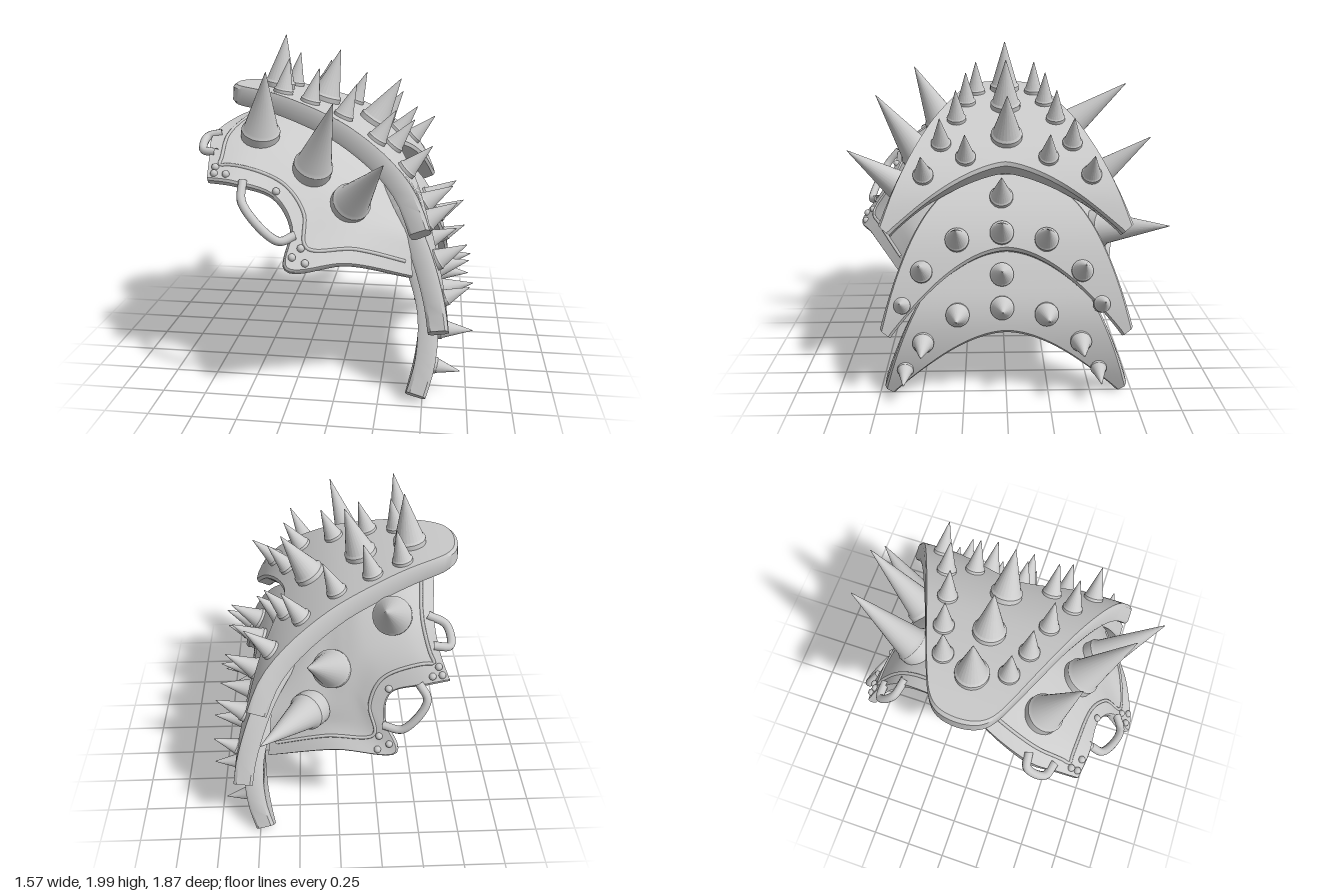
import * as THREE from 'three';
import { toCreasedNormals } from 'three/addons/utils/BufferGeometryUtils.js';

const V3 = (p) => new THREE.Vector3(...p);
const clamp01 = (t) => Math.min(1, Math.max(0, t));
const material = new THREE.MeshStandardMaterial({ color: 0xcccccc, side: THREE.DoubleSide });

function add(group, name, geometry) {
  const mesh = new THREE.Mesh(geometry, material);
  mesh.name = name;
  group.add(mesh);
  return mesh;
}

// Unit normal of a surface function
function normalAt(fn, u, v) {
  const e = 0.004;
  const du = fn(clamp01(u + e), v).sub(fn(clamp01(u - e), v));
  const dv = fn(u, clamp01(v + e)).sub(fn(u, clamp01(v - e)));
  return du.cross(dv).normalize();
}

// Solid sheet with bevelled long edges, following fn(u, v)
function sheet(fn, nu, nv, thick, bevel) {
  const pos = [], idx = [], half = nv + 3, m = half * 2;
  for (let i = 0; i <= nu; i++) {
    const u = i / nu;
    const inset = Math.min(0.2, bevel / fn(u, 0).distanceTo(fn(u, 1)));
    const section = [[0, -bevel]];
    for (let j = 0; j <= nv; j++) section.push([inset + (1 - 2 * inset) * j / nv, 0]);
    section.push([1, -bevel]);
    for (let j = half - 1; j >= 0; j--) section.push([section[j][0], -thick - section[j][1]]);
    for (const [v, off] of section) pos.push(...fn(u, v).addScaledVector(normalAt(fn, u, v), off).toArray());
  }
  for (let i = 0; i < nu; i++) for (let j = 0; j < m; j++) {
    const a = i * m + j, b = i * m + (j + 1) % m;
    idx.push(a, a + m, b + m, a, b + m, b);
  }
  // Close both ends by joining the outer and inner halves
  const e = nu * m;
  for (let j = 0; j < half - 1; j++) {
    const a = j, b = j + 1, c = m - 2 - j, d = m - 1 - j;
    idx.push(a, b, c, a, c, d, e + a, e + c, e + b, e + a, e + d, e + c);
  }
  const g = new THREE.BufferGeometry();
  g.setAttribute('position', new THREE.Float32BufferAttribute(pos, 3));
  g.setIndex(idx);
  return toCreasedNormals(g, 0.6);
}

// Cone with a collar, from a base point along a direction
function spike(group, name, base, dir, r, h) {
  const prof = [[0, -0.04], [r * 1.1, -0.04], [r * 1.1, h * 0.09], [r * 0.96, h * 0.13], [0.002, h]];
  const g = new THREE.LatheGeometry(prof.map((p) => new THREE.Vector2(...p)), 24);
  const mesh = add(group, name, toCreasedNormals(g, 0.5));
  mesh.position.copy(base);
  mesh.quaternion.setFromUnitVectors(new THREE.Vector3(0, 1, 0), dir.clone().normalize());
}

// Crescent plate bent along an (x, y) profile; upper(k) and lower(k) give
// [z, position along the profile] from the middle (k = 0) to the horn (k = 1)
function plate(model, name, points, upper, lower) {
  const group = new THREE.Group();
  group.name = name;
  model.add(group);
  const profile = new THREE.SplineCurve(points.map((p) => new THREE.Vector2(...p)));
  const fn = (u, v) => {
    const k = Math.abs(2 * u - 1), [za, sa] = upper(k), [zb, sb] = lower(k);
    const c = profile.getPointAt(clamp01(sa + (sb - sa) * v));
    return new THREE.Vector3(c.x, c.y, (u < 0.5 ? -1 : 1) * (za + (zb - za) * v));
  };
  add(group, name + 'Shell', sheet(fn, 64, 16, 0.115, 0.018));
  // Places a spike where the profile reaches a given x or y, square to it plus an upward tilt
  return (axis, value, z, r, h, tilt) => {
    let best = 0, gap = 9;
    for (let i = 0; i <= 200; i++) {
      const g = Math.abs(profile.getPointAt(i / 200)[axis] - value);
      if (g < gap) { gap = g; best = i / 200; }
    }
    const p = profile.getPointAt(best), t = profile.getTangentAt(best);
    spike(group, 'plateSpike', new THREE.Vector3(p.x, p.y, z), new THREE.Vector3(-t.y, t.x + tilt, 0), r, h);
  };
}

function addPlates(model) {
  // Top plate: rounded nose widening to two horns
  const top = plate(model, 'topPlate',
    [[-0.7, 1.715], [-0.4, 1.685], [-0.1, 1.6], [0.1, 1.51], [0.3, 1.37], [0.44, 1.21], [0.53, 1]],
    (k) => [0.55 * k * k + 0.17 * Math.tanh(6 * k), 0.965 * k * k],
    (k) => [0.66 * k, 0.725 + 0.275 * k ** 1.5]);
  for (const x of [-0.43, -0.15, 0.15]) top('x', x, -0.01, 0.085, 0.31, 0);
  for (const [x, z] of [[-0.37, 0.175], [-0.2, 0.235], [0, 0.29], [0.2, 0.375], [0.37, 0.47], [0.285, 0.23]]) {
    for (const s of [1, -1]) top('x', x, s * z - 0.01 + 0.01 * s, 0.053, 0.2, 0.05);
  }
  // Two lower plates share their outer edge and spike layout
  const lowerPlates = [
    ['middlePlate', 0.42, 0.45, 0.5, [[0.2, 1.28], [0.36, 1.13], [0.47, 0.98], [0.55, 0.8], [0.61, 0.6], [0.64, 0.42]]],
    ['bottomPlate', 0, 0, 0.55, [[0.4, 0.9], [0.48, 0.75], [0.555, 0.57], [0.58, 0.4], [0.565, 0.2], [0.51, 0]]],
  ];
  for (const [name, lift, tilt, notch, points] of lowerPlates) {
    const put = plate(model, name, points,
      (k) => [0.72 * k, 0.95 * k ** 2.8],
      (k) => [0.66 * k, notch + (1 - notch) * k ** 1.8]);
    for (const y of [0.74, 0.565]) put('y', y + lift, 0.025, 0.062, 0.21, tilt * 0.1);
    for (const [y, z, r] of [[0.53, 0.255, 0.062], [0.365, 0.455, 0.056], [0.185, 0.565, 0.043]]) {
      for (const s of [1, -1]) put('y', y + lift, 0.025 + s * z, r, r * 3.5, tilt * z);
    }
  }
}

// Side flap: a middle row and the notched outer hem, from back to front edge
const MIDDLE = [[-0.73, 1.46, 0.42], [-0.48, 1.47, 0.4], [-0.2, 1.36, 0.48], [-0.05, 1.25, 0.54], [0.07, 1.13, 0.59], [0.2, 1.06, 0.58], [0.4, 0.96, 0.5]];
const HEM = [[-0.69, 1.28, 0.7], [-0.54, 1.27, 0.72], [-0.32, 1.2, 0.72], [-0.21, 1.05, 0.8], [-0.22, 0.87, 0.93], [0.08, 0.87, 0.83], [0.43, 0.73, 0.62]];

// All rows: ridge, a row tucked under the top plate, middle, halfway, hem
function flapRows() {
  const tucked = MIDDLE.map(([x]) => [0.85 * x, 1.41 - 0.6 * x - 0.58 * x * x, 0.22 + 0.17 * x]);
  const ridge = tucked.map(([x, y]) => [0.85 * x, y + 0.015, 0]);
  const halfway = MIDDLE.map((p, i) => p.map((c, n) => (c + HEM[i][n]) / 2 + (n === 2 ? 0.012 : 0)));
  return [ridge, tucked, MIDDLE, halfway, HEM];
}

// The rear flap hangs lower and closer to the body, with a hollowed end
function toRear([x, y, z]) {
  const a = Math.min(0.26, 0.24 * (z / 0.7) ** 2), dy = y - 1.55, far = Math.min(1, z / 0.5);
  const spread = 0.25 * far * Math.max(0, x + 0.2) * Math.max(0, -dy);
  const hollow = 0.27 * Math.max(0, -x) * Math.max(0, Math.sin(Math.PI * z / 0.8));
  return [x + hollow - 0.5 * Math.max(0, 1.2 - y) * (0.45 - x),
    1.55 + dy * Math.cos(a) - 0.8 * z * Math.sin(a) - 0.7 * spread,
    -(z * Math.cos(a) + dy * Math.sin(a) * far + spread)];
}

// spikes: [u, v, tip]; pulls: how far each strap loop stands off
function addFlap(model, name, rear, spikes, pulls) {
  const group = new THREE.Group();
  group.name = name;
  model.add(group);
  const rows = flapRows().map((r) => new THREE.CatmullRomCurve3(r.map((p) => V3(rear ? toRear(p) : p))));
  const side = (u) => (rear ? u : 1 - u);
  const fn = (u, v) => new THREE.CatmullRomCurve3(rows.map((r) => r.getPoint(side(u)))).getPoint(v);
  const on = (u, v, off = 0) => fn(side(u), v).addScaledVector(normalAt(fn, side(u), v), off);
  add(group, name + 'Shell', sheet(fn, 48, 20, 0.05, 0.012));

  // Raised seam along the free edges
  const seam = [];
  for (let i = 0; i <= 8; i++) seam.push(on(0.06, 0.2 + i * 0.08));
  for (let i = 1; i <= 24; i++) seam.push(on(0.06 + 0.92 * i / 24, 0.84));
  add(group, 'seam', new THREE.TubeGeometry(new THREE.CatmullRomCurve3(seam), 120, 0.01, 6));

  // Three rivets at each corner and one in the notch
  const rivets = [[0.33, 0.95]];
  for (const u of [0.04, 0.645]) rivets.push([u, 0.94], [u, 0.87], [u + 0.07, 0.94]);
  for (const [u, v] of rivets) {
    add(group, 'rivet', new THREE.SphereGeometry(0.021, 12, 8)).position.copy(on(u, v, 0.003));
  }
  for (const [u, v, tip] of spikes) {
    const base = on(u, v), dir = V3(tip).sub(base);
    spike(group, 'flapSpike', base, dir, 0.1, dir.length());
  }
  // Strap loops across the notch and on the free end
  const ends = [[on(0.2, 0.97), on(0.55, 0.95)], [on(0.03, 0.48), on(0.03, 0.7)]];
  ends.forEach(([a, b], i) => {
    const pull = V3(pulls[i]);
    const path = [a, a.clone().lerp(b, 0.12).add(pull), a.clone().lerp(b, 0.8).add(pull), b];
    add(group, 'strapLoop', new THREE.TubeGeometry(new THREE.CatmullRomCurve3(path), 40, 0.024, 10));
  });
}

export function createModel() {
  const model = new THREE.Group();
  model.name = 'spikedShoulderArmour';
  addPlates(model);
  addFlap(model, 'frontFlap', false,
    [[0.18, 0.5, [-0.38, 1.84, 0.57]], [0.4, 0.54, [0.01, 1.71, 0.77]], [0.67, 0.5, [0.28, 1.43, 0.91]]],
    [[-0.02, -0.07, 0.07], [-0.08, -0.01, 0]]);
  addFlap(model, 'rearFlap', true,
    [[0.2, 0.48, [-0.22, 1.75, -0.77]], [0.6, 0.45, [0.17, 1.48, -0.86]], [0.83, 0.56, [0.43, 1.01, -0.94]]],
    [[-0.07, -0.05, -0.05], [-0.1, -0.03, -0.02]]);
  return model;
}
